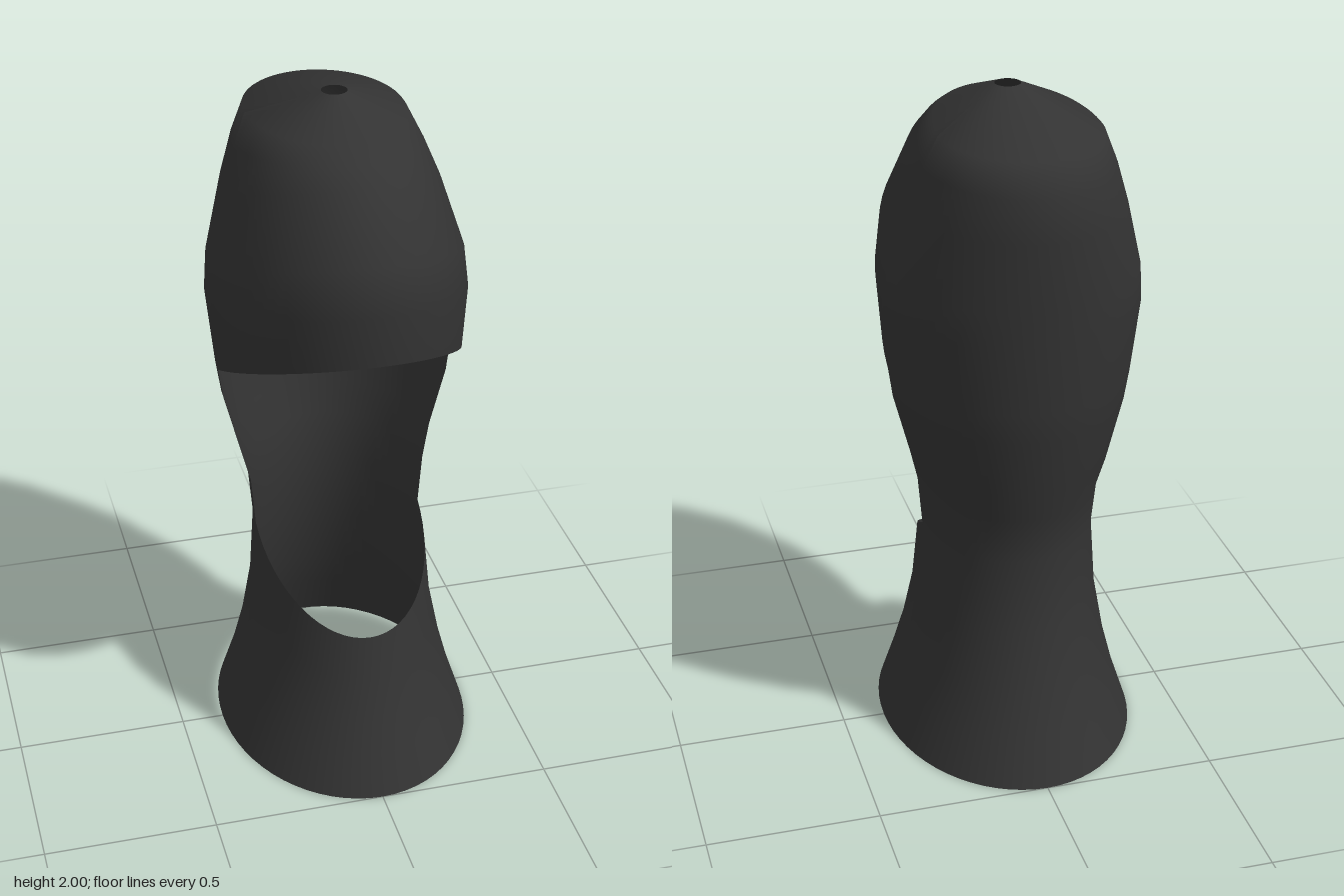
import * as THREE from 'three';

const SEGMENTS = 32;

// Lofts half-elliptical rings running from one side seam to the other.
// Each row: [half width, seam z, seam y, middle z, middle y], from bottom to top.
function halfShell(rows, start) {
  const positions = [];
  const indices = [];
  for (const [rx, seamZ, seamY, midZ, midY] of rows) {
    for (let i = 0; i <= SEGMENTS; i++) {
      const angle = start + (i / SEGMENTS) * Math.PI;
      const s = Math.abs(Math.sin(angle));
      positions.push(
        rx * Math.cos(angle),
        seamY + (midY - seamY) * s,
        seamZ + (midZ - seamZ) * s
      );
    }
  }
  const stride = SEGMENTS + 1;
  for (let j = 0; j < rows.length - 1; j++) {
    for (let i = 0; i < SEGMENTS; i++) {
      const a = j * stride + i;
      const b = a + stride;
      indices.push(a, b, a + 1, b, b + 1, a + 1);
    }
  }
  const geometry = new THREE.BufferGeometry();
  geometry.setAttribute('position', new THREE.Float32BufferAttribute(positions, 3));
  geometry.setIndex(indices);
  geometry.computeVertexNormals();
  return geometry;
}

export function createModel() {
  const model = new THREE.Group();
  model.name = 'openFaceHood';
  const fabric = new THREE.MeshStandardMaterial({ color: 0x333333, side: THREE.DoubleSide });
  fabric.name = 'charcoal fabric';

  function addPart(name, rows, start) {
    const mesh = new THREE.Mesh(halfShell(rows, start), fabric);
    mesh.name = name;
    model.add(mesh);
  }

  // Front of the neck, rising to the slanted lower edge of the face opening
  addPart('neckFront', [
    [0.375, 0, 0, 0.5, 0],
    [0.33, 0, 0.14, 0.455, 0.12],
    [0.297, -0.005, 0.27, 0.415, 0.22],
    [0.265, -0.015, 0.45, 0.38, 0.34],
    [0.25, -0.03, 0.67, 0.35, 0.47],
  ], 0);

  // Forehead and crown, from the upper face edge to the hole on top
  const crownSeam = [
    [0.346, -0.05, 1.19],
    [0.365, -0.08, 1.4],
    [0.355, -0.1, 1.5],
    [0.3, -0.14, 1.7],
    [0.262, -0.16, 1.82],
    [0.225, -0.18, 1.91],
    [0.036, -0.06, 2],
  ];
  const crownFront = [
    [0.44, 1.41], [0.452, 1.56], [0.438, 1.7], [0.3, 1.86],
    [0.235, 1.9], [0.17, 1.93], [-0.024, 2],
  ];
  addPart('crownFront', crownSeam.map((row, i) => [...row, ...crownFront[i]]), 0);

  // Back of the neck and head, one continuous half shell
  const crownBackZ = [-0.455, -0.475, -0.48, -0.499, -0.486, -0.45, -0.096];
  addPart('backShell', [
    [0.375, 0, 0, -0.5, 0],
    [0.33, 0, 0.14, -0.445, 0.14],
    [0.297, -0.005, 0.27, -0.4, 0.27],
    [0.265, -0.015, 0.45, -0.358, 0.45],
    [0.25, -0.03, 0.67, -0.335, 0.67],
    [0.262, -0.03, 0.82, -0.37, 0.82],
    [0.287, -0.05, 0.92, -0.4, 0.92],
    [0.333, -0.045, 1.1, -0.44, 1.1],
    ...crownSeam.map((row, i) => [...row, crownBackZ[i], row[2]]),
  ], Math.PI);

  return model;
}
